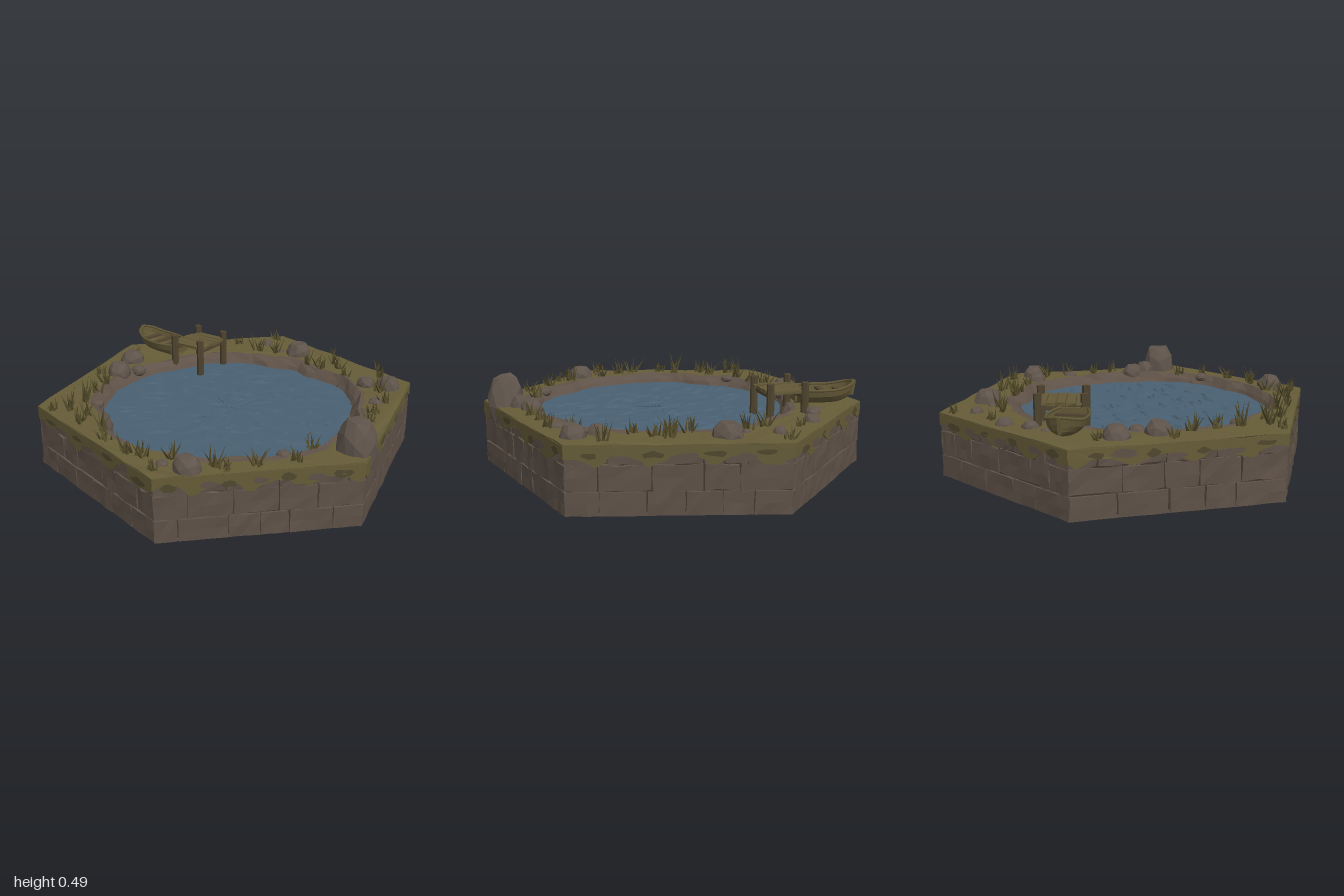
import * as THREE from 'three';
import { mergeGeometries } from 'three/addons/utils/BufferGeometryUtils.js';

export function createModel() {
  const root = new THREE.Group();
  const mat = (name, color, double) => {
    const m = new THREE.MeshStandardMaterial({ color });
    m.name = name;
    if (double) m.side = THREE.DoubleSide;
    return m;
  };
  const stone = mat('stone', 0x5f5248), mortar = mat('mortar', 0x42372f), rockMat = mat('rock', 0x5f544b);
  const grass = mat('grass', 0x665c38), moss = mat('darkMoss', 0x50472e), blade = mat('reedGreen', 0x524a29);
  const water = mat('water', 0x496072);
  const wood = mat('wood', 0x635837, true), darkWood = mat('darkWood', 0x50442f);

  let seed = 7;
  const rnd = (a = 0, b = 1) => {
    seed = (seed * 16807) % 2147483647;
    return a + (b - a) * seed / 2147483647;
  };
  // shift coincident corners together, then give every face its own normal
  const roughen = (geo, ax, ay = ax, az = ax, k = 0) => {
    const p = geo.attributes.position;
    const h = (x, y, z, n) => {
      const s = Math.sin(Math.round(x * 1e4) * 0.127 + Math.round(y * 1e4) * 0.311 + Math.round(z * 1e4) * 0.747 + n * 9.1 + k) * 43758.5;
      return (s - Math.floor(s)) * 2 - 1;
    };
    for (let i = 0; i < p.count; i++) {
      const x = p.getX(i), y = p.getY(i), z = p.getZ(i);
      p.setXYZ(i, x + ax * h(x, y, z, 1), y + ay * h(x, y, z, 2), z + az * h(x, y, z, 3));
    }
    const g = geo.index ? geo.toNonIndexed() : geo;
    g.computeVertexNormals();
    return g;
  };
  const add = (name, geo, material, parent = root) => {
    const m = new THREE.Mesh(geo, material);
    m.name = name;
    parent.add(m);
    return m;
  };
  const at = (geo, x, y, z) => geo.translate(x, y, z);
  const CX = 0.05, CZ = 0.045;
  const wob = a => 0.012 * Math.sin(5 * a + 1) + 0.009 * Math.sin(9 * a) + 0.007 * Math.sin(14 * a + 2);

  // slightly uneven hexagon, corners as x, z
  const corners = [[0.998, 0.03], [0.51, 0.857], [-0.51, 0.857], [-0.998, -0.04], [-0.515, -0.861], [0.503, -0.861]];
  const hexShape = (scale, steps = 1) => {
    const pts = [];
    corners.forEach(([x, z], k) => {
      const [x2, z2] = corners[(k + 1) % 6];
      for (let i = 0; i < steps; i++) {
        const t = i / steps;
        pts.push(new THREE.Vector2(scale * (x + (x2 - x) * t), scale * (z + (z2 - z) * t)));
      }
    });
    return new THREE.Shape(pts);
  };
  const slab = (shape, top, depth) =>
    new THREE.ExtrudeGeometry(shape, { depth, bevelEnabled: false }).rotateX(Math.PI / 2).translate(0, top, 0);

  // core, seen only between the blocks and from below
  add('core', slab(hexShape(0.982), 0.26, 0.26), [stone, mortar]);
  add('base', slab(hexShape(0.992), 0.012, 0.012), stone);

  // six walls of rough blocks with a mossy overhang
  corners.forEach(([ax, az], s) => {
    const [bx, bz] = corners[(s + 1) % 6];
    const wall = new THREE.Group();
    wall.name = 'wall';
    wall.position.set((ax + bx) / 2, 0, (az + bz) / 2);
    wall.rotation.y = Math.atan2(bz - az, ax - bx);
    wall.scale.x = Math.hypot(bx - ax, bz - az);
    root.add(wall);
    const blocks = [];
    [[0, 0.115], [0.115, 0.238], [0.238, 0.31]].forEach(([y0, y1], row) => {
      let x = -0.498;
      while (x < 0.498) {
        let x1 = x + rnd(0.11, 0.25) * (row === 2 ? 0.8 : 1);
        if (x1 > 0.42) x1 = 0.498;
        const g0 = x === -0.498 ? 0 : 0.0025, g1 = x1 === 0.498 ? 0 : 0.0025;
        const b = new THREE.BoxGeometry(x1 - x - g0 - g1, y1 - y0 - 0.004, 0.03, 3, 2, 1);
        at(b, (x + g0 + x1 - g1) / 2, (y0 + y1 - (row ? 0 : 0.004)) / 2, -0.019);
        blocks.push(roughen(b, 0.003, row ? 0.007 : 0.0005, 0.0035, s));
        x = x1;
      }
    });
    add('stoneBlocks', mergeGeometries(blocks), stone, wall);
    const band = new THREE.Shape();
    band.moveTo(-0.5, 0.325).lineTo(-0.5, 0.265);
    for (let i = 1; i < 30; i++) {
      band.lineTo(-0.5 + i / 30, 0.262 + 0.028 * Math.sin(i * 0.8 + s * 2) + rnd(-0.014, 0.014));
    }
    band.lineTo(0.5, 0.265).lineTo(0.5, 0.325);
    add('mossEdge', at(new THREE.ExtrudeGeometry(band, { depth: 0.007, bevelEnabled: false }), 0, 0, -0.005), grass, wall);
    for (let i = 0; i < 7; i++) {
      const patch = new THREE.CircleGeometry(1, 8).scale(rnd(0.03, 0.06), rnd(0.012, 0.022), 1);
      add('edgePatch', at(roughen(patch, 0.006, 0.006, 0), -0.4 + i * 0.133 + rnd(-0.03, 0.03), rnd(0.262, 0.295), 0.0028), i % 2 ? stone : moss, wall);
    }
  });

  // grassy ground with the pond cut out
  const ground = hexShape(1, 10);
  const hole = new THREE.Path();
  for (let i = 0; i < 60; i++) {
    const a = -i * Math.PI / 30, r = 0.695 + wob(a);
    const x = CX + r * Math.cos(a), y = CZ + r * Math.sin(a);
    if (i) hole.lineTo(x, y); else hole.moveTo(x, y);
  }
  ground.holes.push(hole);
  add('ground', roughen(slab(ground, 0.329, 0.05), 0.003, 0.004, 0.003), grass);

  // sloping stone bank around the water
  const profile = [[0.722, 0.326], [0.69, 0.335], [0.66, 0.305], [0.625, 0.255]].map(p => new THREE.Vector2(...p));
  const bank = new THREE.LatheGeometry(profile, 56);
  const bp = bank.attributes.position;
  for (let i = 0; i < bp.count; i++) {
    const x = bp.getX(i), z = bp.getZ(i), f = 1 + wob(Math.atan2(z, x)) / 0.695;
    bp.setXYZ(i, x * f, bp.getY(i), z * f);
  }
  add('bank', at(roughen(bank, 0.009, 0.006, 0.009), CX, 0, CZ), stone);

  // faceted water with long wave ridges
  const pond = new THREE.RingGeometry(0.002, 0.665, 44, 8).rotateX(-Math.PI / 2);
  add('water', at(roughen(pond, 0.012, 0.003, 0.012), CX, 0.284, CZ), water);
  const ridges = [];
  for (let i = 0; i < 85; i++) {
    const a = rnd(0, 6.283), r = 0.55 * Math.sqrt(rnd()), x = CX + r * Math.cos(a), z = CZ + r * Math.sin(a);
    const ridge = new THREE.ConeGeometry(1, 1, 4).scale(rnd(0.05, 0.13), 0.016, rnd(0.012, 0.026));
    ridges.push(at(ridge.rotateY(0.65 + (z - x) * 0.35 + rnd(-0.3, 0.3)), x, 0.286, z));
  }
  add('waveRidges', roughen(mergeGeometries(ridges), 0), water);

  // boulders: x, z, radius, height above ground
  const boulders = [[-0.23, -0.72, 0.075, 0.075], [-0.47, -0.68, 0.035, 0.035], [-0.66, -0.46, 0.045, 0.04],
    [-0.69, -0.32, 0.042, 0.04], [-0.73, -0.23, 0.025, 0.02], [-0.76, 0.11, 0.07, 0.07], [-0.64, 0.28, 0.068, 0.07],
    [0.53, 0.68, 0.07, 0.07], [0.42, 0.74, 0.03, 0.02], [0.47, -0.72, 0.065, 0.07], [0.36, -0.66, 0.05, 0.05],
    [0.72, -0.17, 0.06, 0.06], [0.79, -0.11, 0.05, 0.07], [0.87, -0.04, 0.095, 0.17], [-0.32, -0.66, 0.022, 0.02],
    [0.7, 0.26, 0.035, 0.025], [-0.61, 0.17, 0.04, 0.03], [0.56, -0.52, 0.04, 0.025], [-0.35, 0.6, 0.035, 0.02]];
  boulders.forEach(([x, z, r, h], i) => {
    const g = new THREE.IcosahedronGeometry(1, 1).rotateY(i * 1.3);
    const p = g.attributes.position;
    for (let j = 0; j < p.count; j++) p.setY(j, Math.min(p.getY(j), 0.85));
    const m = add('boulder', roughen(g, 0.08, 0.05, 0.08, i), rockMat);
    m.scale.set(r, h * 1.08, r);
    m.position.set(x, 0.325, z);
  });

  // tufts of grass and reeds: x, z, height
  const tufts = [[-0.5, -0.79, 0.07], [0.04, -0.75, 0.12], [0.1, -0.73, 0.09], [-0.05, -0.64, 0.1], [0.03, -0.65, 0.09],
    [0.2, -0.66, 0.07], [0.33, -0.79, 0.1], [0.47, -0.64, 0.1], [0.6, -0.55, 0.08], [0.65, -0.4, 0.07], [0.71, -0.3, 0.08],
    [0.73, 0.12, 0.08], [0.79, 0.26, 0.08], [0.7, 0.42, 0.09], [0.58, 0.56, 0.11], [0.4, 0.67, 0.11], [0.44, 0.8, 0.07],
    [0.3, 0.76, 0.1], [0.22, 0.8, 0.1], [0.05, 0.8, 0.08], [-0.03, 0.76, 0.14], [-0.2, 0.79, 0.09], [-0.25, 0.72, 0.1],
    [-0.37, 0.76, 0.12], [-0.4, 0.63, 0.13], [-0.48, 0.53, 0.09], [-0.55, 0.42, 0.09], [-0.7, 0.36, 0.07],
    [-0.42, -0.56, 0.13], [-0.33, -0.62, 0.1], [-0.58, -0.56, 0.06], [-0.82, 0.04, 0.06], [0.64, 0.55, 0.07], [-0.42, 0.82, 0.07]];
  const blades = [];
  tufts.forEach(([x, z, h]) => {
    for (let i = 0; i < 9; i++) {
      const l = h * rnd(0.55, 1.1), g = new THREE.ConeGeometry(rnd(0.006, 0.01), l, 3);
      g.translate(0, l / 2, 0).rotateZ(rnd(0.05, 0.65)).rotateY(i * 2.4 + x * 9);
      blades.push(at(g, x + rnd(-0.025, 0.025), 0.325, z + rnd(-0.02, 0.02)));
    }
  });
  add('grassTufts', roughen(mergeGeometries(blades), 0), blade);

  // jetty reaching over the water
  const jetty = new THREE.Group();
  jetty.name = 'jetty';
  jetty.position.set(-0.54, 0, -0.21);
  jetty.rotation.y = 0.25;
  root.add(jetty);
  for (let i = 0; i < 5; i++) {
    const plank = new THREE.BoxGeometry(0.2 + rnd(-0.015, 0.015), 0.016, 0.043);
    add('plank', at(roughen(plank, 0.003), rnd(-0.006, 0.006), 0.437, -0.092 + i * 0.046), wood, jetty);
  }
  for (const x of [-0.08, 0.08]) add('beam', at(new THREE.BoxGeometry(0.024, 0.024, 0.23), x, 0.418, 0), darkWood, jetty);
  for (const x of [-0.09, 0.095]) for (const z of [-0.11, 0.11]) {
    const post = new THREE.CylinderGeometry(0.019, 0.021, 0.21, 6);
    add('post', at(roughen(post, 0.002), x, 0.38, z), darkWood, jetty);
  }

  // rowing boat, bow towards -x
  const boat = new THREE.Group();
  boat.name = 'boat';
  boat.position.set(-0.785, 0, -0.11);
  boat.rotation.y = 0.1;
  root.add(boat);
  const N = 12, M = 8, pos = [], idx = [], rails = [[], []];
  for (let i = 0; i <= N; i++) {
    const t = i / N, x = 0.165 - 0.325 * t;
    const w = t < 0.4 ? 0.065 + 0.03 * Math.sin(t / 0.4 * Math.PI / 2) : 0.095 * Math.sqrt(Math.max(0, 1 - ((t - 0.4) / 0.6) ** 2));
    const sheer = 0.42 + 0.033 * Math.max(0, (t - 0.55) / 0.45) ** 2, keel = 0.342 + 0.035 * Math.max(0, (t - 0.6) / 0.4) ** 2;
    for (let j = 0; j <= M; j++) {
      const v = j / M * 2 - 1;
      pos.push(x + 0.03 * Math.max(0, t - 0.6) * (1 - v * v), keel + (sheer - keel) * v * v, w * Math.sin(v * Math.PI / 2));
      if (i < N && j < M) {
        const a = i * (M + 1) + j, b = a + M + 1;
        idx.push(a, a + 1, b, a + 1, b + 1, b);
      }
    }
    rails[0].push(new THREE.Vector3(x, sheer, w));
    rails[1].push(new THREE.Vector3(x, sheer, -w));
  }
  const hull = new THREE.BufferGeometry();
  hull.setAttribute('position', new THREE.Float32BufferAttribute(pos, 3));
  hull.setIndex(idx);
  add('hull', roughen(hull, 0), wood, boat);
  for (const r of rails) add('gunwale', new THREE.TubeGeometry(new THREE.CatmullRomCurve3(r), 20, 0.007, 5), wood, boat);
  add('transom', at(new THREE.BoxGeometry(0.012, 0.06, 0.125), 0.163, 0.392, 0), wood, boat);
  for (const [x, w] of [[0.1, 0.15], [0.01, 0.17], [-0.08, 0.13]]) {
    add('bench', at(new THREE.BoxGeometry(0.03, 0.01, w), x, 0.402, 0), darkWood, boat);
  }
  add('stem', at(new THREE.BoxGeometry(0.014, 0.08, 0.014).rotateZ(0.15), -0.159, 0.415, 0), wood, boat);
  return root;
}
